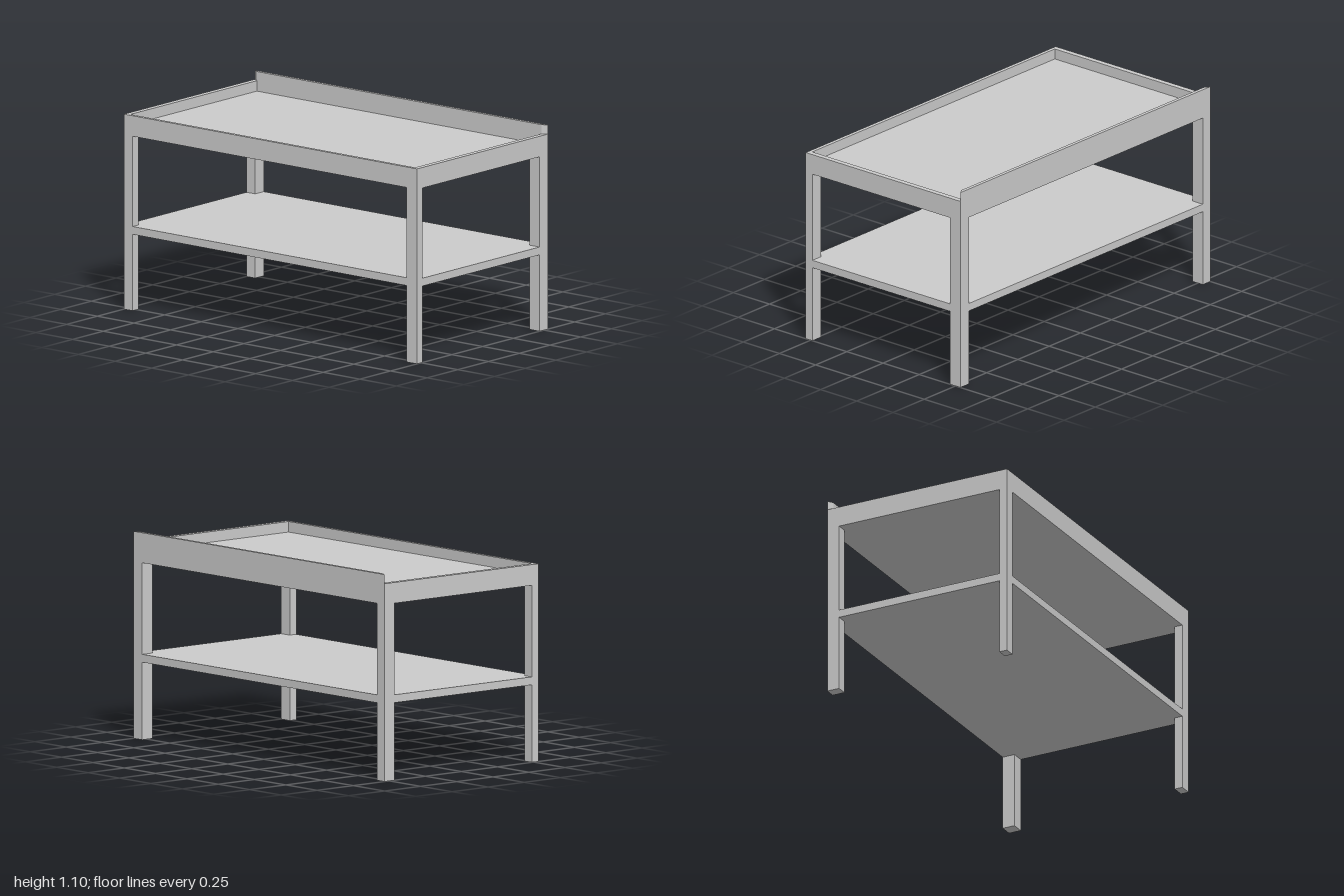
import * as THREE from 'three';

const W = 1, D = 0.534;            // half width and half depth
const RIM_X = 0.03, RIM_Z = 0.02;  // rim thickness at the ends and along the long sides
const UNDER = 0.936, FLOOR = 0.99, RIM_TOP = 1.046, BOARD_TOP = 1.095;

// Legs: mirrored plan corners with their own widths
const legs = [
  { name: 'frontLeftLeg', sx: 1, sz: 1, w: 0.07, d: 0.046 },
  { name: 'backLeftLeg', sx: 1, sz: -1, w: 0.07, d: 0.07 },
  { name: 'backRightLeg', sx: -1, sz: -1, w: 0.06, d: 0.07 },
  { name: 'frontRightLeg', sx: -1, sz: 1, w: 0.06, d: 0.046 },
];

export function createModel() {
  const group = new THREE.Group();
  const material = new THREE.MeshStandardMaterial({ color: 0xcccccc, flatShading: true });

  function add(name, geometry) {
    const mesh = new THREE.Mesh(geometry, material);
    mesh.name = name;
    group.add(mesh);
    return mesh;
  }

  // Flat outline given as [x, z] points, raised from y0 to y1
  const toPath = (points) => points.map(([x, z]) => new THREE.Vector2(x, -z));
  function slab(name, points, y0, y1, hole) {
    const shape = new THREE.Shape(toPath(points));
    if (hole) shape.holes.push(new THREE.Path(toPath(hole)));
    const geometry = new THREE.ExtrudeGeometry(shape, { depth: y1 - y0, bevelEnabled: false });
    geometry.rotateX(-Math.PI / 2).translate(0, y0, 0);
    return add(name, geometry);
  }
  const rect = (x, z) => [[-x, z], [x, z], [x, -z], [-x, -z]];

  // Four legs
  for (const { name, sx, sz, w, d } of legs) {
    add(name, new THREE.BoxGeometry(w, UNDER, d))
      .position.set(sx * (W - w / 2), UNDER / 2, sz * (D - d / 2));
  }

  // Apron frame with the recessed table top inside it
  const inX = W - RIM_X, inZ = D - RIM_Z;
  slab('apron', rect(W, D), UNDER, RIM_TOP, rect(inX, inZ));
  slab('tableTop', rect(inX, inZ), UNDER, FLOOR);

  // Raised back board with mitred ends
  slab('backBoard', [[-W, -D], [-inX, -inZ], [inX, -inZ], [W, -D]], RIM_TOP, BOARD_TOP);

  // Lower shelf, notched around each leg
  const outline = legs.flatMap(({ sx, sz, w, d }) => {
    const x = sx * (W - w), z = sz * (D - d);
    const notch = [[x, sz * D], [x, z], [sx * W, z]];
    return sx * sz > 0 ? notch : notch.reverse();
  });
  slab('lowerShelf', outline, 0.41, 0.452);

  return group;
}
